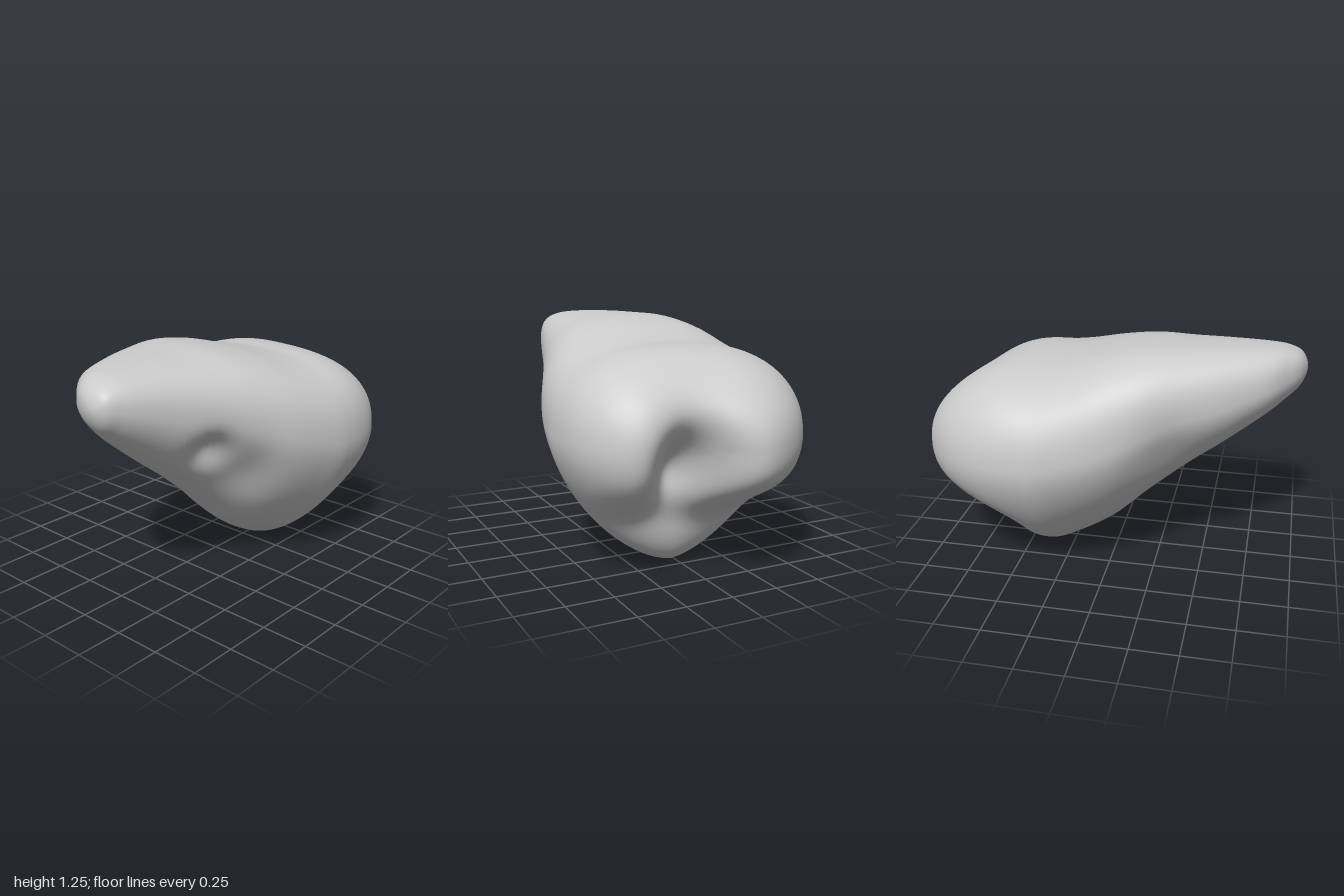
import * as THREE from 'three';
import { mergeVertices } from 'three/addons/utils/BufferGeometryUtils.js';

// Cross-sections from the front tip to the widest part:
// z, right x, left x, top x, bottom x, bottom y, top y, side y
const SECTIONS = [
  [1, 0.13, 0.13, 0.13, 0.13, 1.1, 1.1, 1.1],
  [0.97, 0.01, 0.2, 0.11, 0.12, 1.01, 1.18, 1.1],
  [0.9, -0.09, 0.24, 0.07, 0.11, 0.94, 1.22, 1.08],
  [0.8, -0.19, 0.28, 0.02, 0.09, 0.855, 1.238, 1.05],
  [0.6, -0.31, 0.345, -0.04, 0.07, 0.7, 1.248, 0.99],
  [0.4, -0.41, 0.415, -0.09, 0.05, 0.55, 1.25, 0.93],
  [0.2, -0.51, 0.495, -0.1, 0.04, 0.38, 1.25, 0.85],
  [0, -0.58, 0.575, -0.1, 0.03, 0.19, 1.22, 0.77],
  [-0.2, -0.625, 0.625, -0.05, 0.03, 0.06, 1.17, 0.71],
  [-0.36, -0.65, 0.645, 0, 0.03, 0, 1.145, 0.68],
];
const LAST = SECTIONS.length - 1;

// Mirrored end rows keep the tip round and the widest ring tangent to z
function row(i) {
  if (i < 0) return SECTIONS[0].map((v, k) => (k ? 2 * v - SECTIONS[1][k] : SECTIONS[1][0]));
  if (i > LAST) return SECTIONS[LAST - 1].map((v, k) => (k ? v : -0.52));
  return SECTIONS[i];
}

// Smooth interpolation between rows
function section(u) {
  const i = Math.min(Math.floor(u), LAST - 1), t = u - i;
  const [a, b, c, d] = [row(i - 1), row(i), row(i + 1), row(i + 2)];
  return b.map((v, k) => v + 0.5 * t * (c[k] - a[k]
    + t * (2 * a[k] - 5 * v + 4 * c[k] - d[k] + t * (3 * (v - c[k]) + d[k] - a[k]))));
}

// Broad rounded top, V-shaped underside that grows rounder towards the tip
function ringPoint(s, angle) {
  const [z, xMin, xMax, xTop, xBottom, yMin, yMax, ySide] = s;
  const cos = Math.cos(angle), sin = Math.sin(angle);
  const n = sin > 0 ? 2.6 : 1.54 + 0.32 * THREE.MathUtils.smoothstep(z, -0.2, 0.7);
  const r = (Math.abs(cos) ** n + Math.abs(sin) ** n) ** (-1 / n);
  const cx = r * cos, sy = r * sin;
  const mid = sin > 0 ? xTop : xBottom;
  const x = mid + cx * (cx > 0 ? xMax - mid : mid - xMin);
  const y = ySide + sy * (sy > 0 ? yMax - ySide : ySide - yMin);
  return new THREE.Vector3(x, y, z);
}

// Depth of the back: a broad upper mass with two lobes, hollowed by a pit in the middle
const bump = (d, below, above) => Math.exp(-((d / (d < 0 ? below : above)) ** 2));
function backDepth(x, y) {
  const lobes = 0.3 + 0.11 * bump(x + 0.23, 0.4, 0.25) + 0.03 * bump(x - 0.45, 0.2, 0.4);
  const height = y < 0.7 ? Math.exp(-(((0.7 - y) / 0.34) ** 4)) : bump(y - 0.7, 1, 0.65);
  const pit = 0.3 * bump(x - 0.15, 0.17, 0.15) * bump(y - 0.56, 0.2, 0.22);
  return 0.25 + lobes * height - pit;
}

// Soft hollows pressed into the sides: centre, radius, push
const HOLLOWS = [
  [new THREE.Vector3(0.34, 0.78, 0.42), 0.11, new THREE.Vector3(-0.07, 0.03, -0.02)],
  [new THREE.Vector3(0.38, 0.62, 0.24), 0.2, new THREE.Vector3(-0.035, 0.02, -0.02)],
  [new THREE.Vector3(-0.38, 0.78, 0.3), 0.2, new THREE.Vector3(0.03, 0.01, -0.015)],
];
function press(p) {
  const start = p.clone();
  for (const [centre, radius, push] of HOLLOWS) {
    p.addScaledVector(push, Math.exp(-start.distanceToSquared(centre) / radius ** 2));
  }
  return p;
}

function bodyGeometry() {
  const around = 96, along = 72, cap = 48, rings = along + cap;
  const positions = [], index = [];
  for (let i = 0; i <= rings; i++) {
    for (let j = 0; j < around; j++) {
      const angle = (j / around) * Math.PI * 2;
      let p;
      if (i <= along) {
        p = ringPoint(section((i / along) * LAST), angle);
      } else {
        // Lobed back closes towards a central point
        const a = ((i - along) / cap) * Math.PI / 2;
        const s = i === rings ? 0 : Math.cos(a) ** (2 / 2.6), d = Math.sin(a) ** (2 / 2.6);
        p = ringPoint(SECTIONS[LAST], angle);
        p.x *= s;
        p.y = 0.66 + (p.y - 0.66) * s;
        p.z -= backDepth(p.x, p.y) * d;
      }
      press(p);
      positions.push(p.x, p.y, p.z);
      if (i < rings) {
        const k = (j + 1) % around, q = i * around, w = q + around;
        if (i > 0) index.push(q + j, w + j, q + k);
        if (i < rings - 1) index.push(w + j, w + k, q + k);
      }
    }
  }
  let geometry = new THREE.BufferGeometry();
  geometry.setAttribute('position', new THREE.Float32BufferAttribute(positions, 3));
  geometry.setIndex(index);
  geometry = mergeVertices(geometry, 1e-5);
  geometry.computeVertexNormals();
  return geometry;
}

export function createModel() {
  const group = new THREE.Group();
  const grey = new THREE.MeshStandardMaterial({ color: 0xcccccc });
  grey.name = 'light grey';
  const body = new THREE.Mesh(bodyGeometry(), grey);
  body.name = 'lobedBody';
  group.add(body);
  return group;
}
